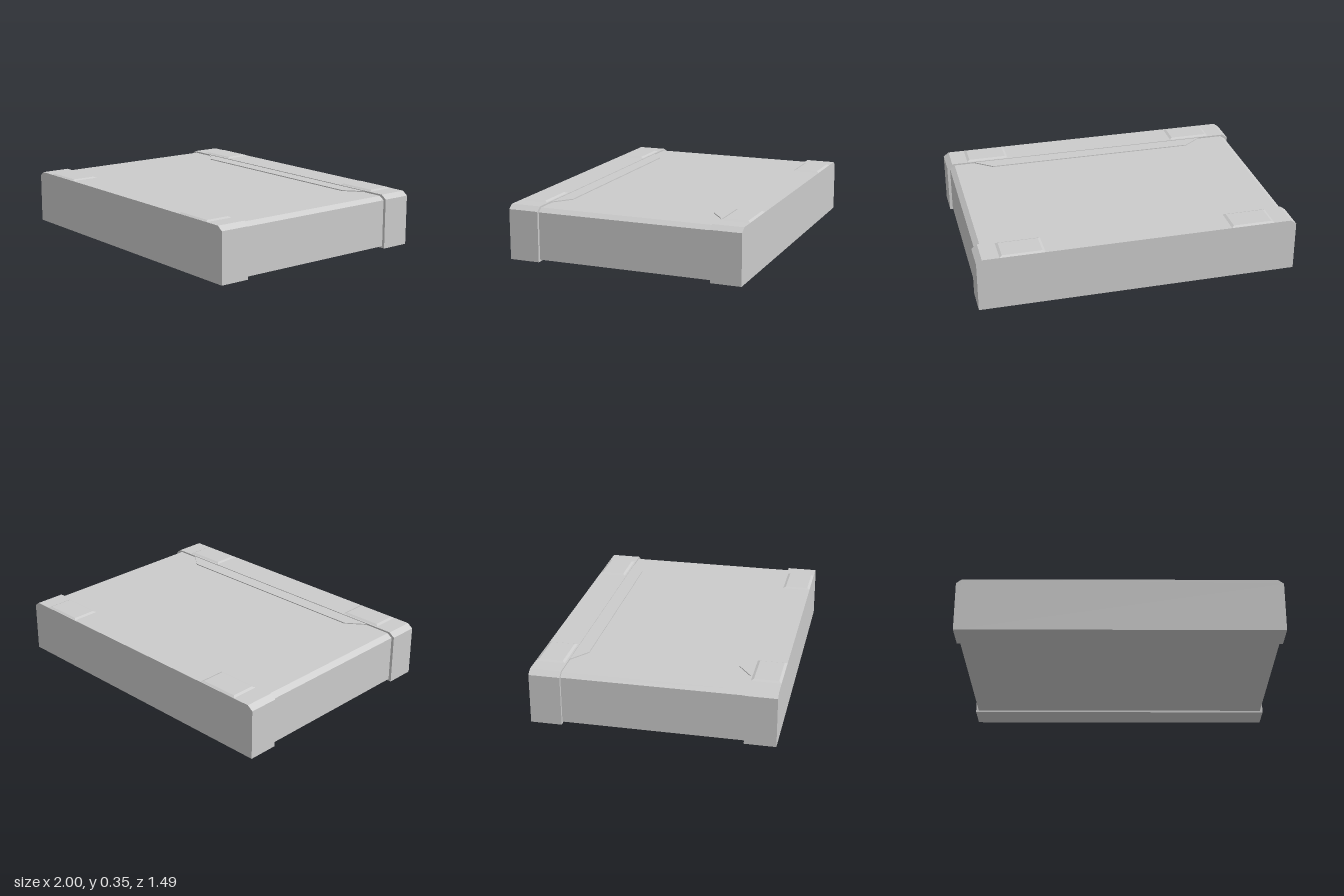
import * as THREE from 'three';

const material = new THREE.MeshStandardMaterial({ color: 0xcccccc, flatShading: true });

function addMesh(parent, name, geometry) {
  const mesh = new THREE.Mesh(geometry, material);
  mesh.name = name;
  parent.add(mesh);
  return mesh;
}

function extrude(points, depth) {
  const shape = new THREE.Shape(points.map(([x, y]) => new THREE.Vector2(x, y)));
  return new THREE.ExtrudeGeometry(shape, { depth, bevelEnabled: false });
}

// Block running along z, with its two upper long edges chamfered
function chamferedBlock(halfWidth, bottom, top, chamferX, chamferY, z0, z1) {
  const w = halfWidth;
  const profile = [
    [-w, bottom], [w, bottom], [w, top - chamferY], [w - chamferX, top],
    [-w + chamferX, top], [-w, top - chamferY],
  ];
  return extrude(profile, z1 - z0).translate(0, 0, z0);
}

// Low pad whose top face is smaller than its base
function taperedPad(width, height, depth, inset) {
  const geometry = new THREE.BoxGeometry(width, height, depth).translate(0, height / 2, 0);
  const p = geometry.attributes.position;
  for (let i = 0; i < p.count; i++) {
    if (p.getY(i) < height / 2) continue;
    p.setX(i, p.getX(i) - Math.sign(p.getX(i)) * inset);
    p.setZ(i, p.getZ(i) - Math.sign(p.getZ(i)) * inset);
  }
  geometry.computeVertexNormals();
  return geometry;
}

export function createModel() {
  const model = new THREE.Group();
  model.name = 'case';

  // Main body between the two end bars
  addMesh(model, 'body', chamferedBlock(0.982, 0.012, 0.331, 0.033, 0.023, -0.56, 0.56));

  for (const side of [1, -1]) {
    const end = new THREE.Group();
    end.name = side > 0 ? 'frontEnd' : 'backEnd';
    model.add(end);

    // Slightly larger end bar
    const [z0, z1] = side > 0 ? [0.554, 0.746] : [-0.746, -0.554];
    addMesh(end, 'endBar', chamferedBlock(1, 0, 0.341, 0.035, 0.026, z0, z1));

    // Raised pads on top of the bar
    for (const x of [-0.717, 0.722]) {
      const pad = addMesh(end, x > 0 ? 'leftPad' : 'rightPad', taperedPad(0.276, 0.007, 0.18, 0.016));
      pad.position.set(x, 0.341, side * 0.655);
    }

    // Thin trapezoid strip lying on the body beside the bar
    const outline = [[-0.785, 0.556], [0.815, 0.556], [0.7, 0.466], [-0.665, 0.466]]
      .map(([x, z]) => [x, -z * side]);
    addMesh(end, 'topStrip', extrude(outline, 0.012).rotateX(-Math.PI / 2).translate(0, 0.325, 0));
  }

  return model;
}
